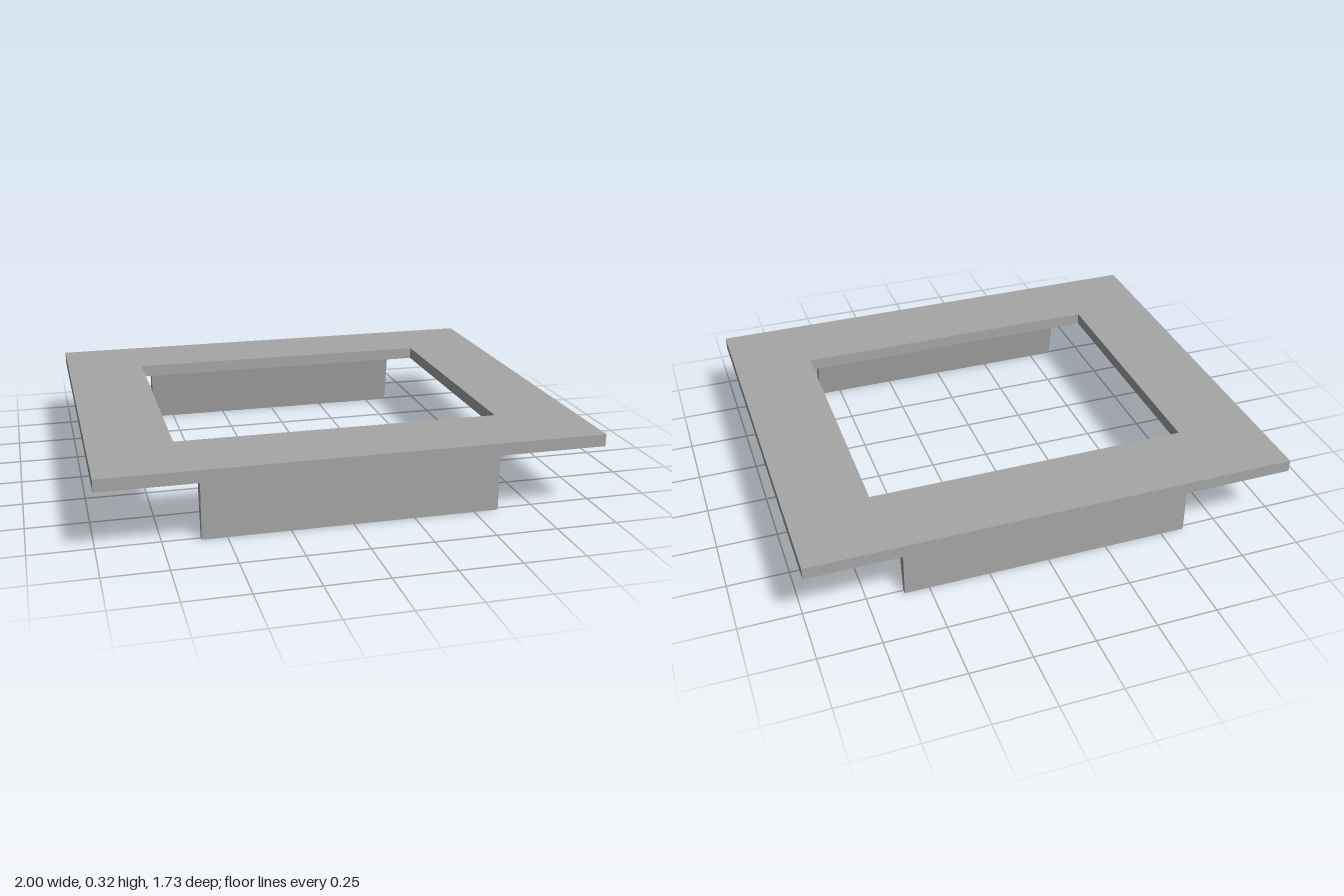
import * as THREE from 'three';

// Closed polygon from [x, y] corner pairs
const polygon = (Type, pts) => new Type(pts.map(([x, y]) => new THREE.Vector2(x, y)));
const rectangle = (Type, w, h) => polygon(Type, [[-w, -h], [w, -h], [w, h], [-w, h]]);

export function createModel() {
  const group = new THREE.Group();
  const grey = new THREE.MeshStandardMaterial({ color: 0xa6a6a6 });
  grey.name = 'plain grey';

  const plateBottom = 0.27, plateThickness = 0.05;

  // Flat rectangular frame with an open centre
  const outline = rectangle(THREE.Shape, 1, 0.865);
  outline.holes.push(rectangle(THREE.Path, 0.665, 0.538));
  const frameGeometry = new THREE.ExtrudeGeometry(outline, { depth: plateThickness, bevelEnabled: false });
  frameGeometry.rotateX(-Math.PI / 2).translate(0, plateBottom, 0);
  const frame = new THREE.Mesh(frameGeometry, grey);
  frame.name = 'frame';
  group.add(frame);

  // Tapered tab: upright outer face, sloping inner face, extruded along x
  const tabProfile = polygon(THREE.Shape, [[-0.768, 0], [-0.742, 0], [-0.702, plateBottom], [-0.768, plateBottom]]);
  const tabGeometry = new THREE.ExtrudeGeometry(tabProfile, { depth: 1.2, bevelEnabled: false });
  tabGeometry.translate(0, 0, -0.6).rotateY(Math.PI / 2);

  // One tab at the front, one turned round at the back
  [['frontTab', 0], ['backTab', Math.PI]].forEach(([name, turn]) => {
    const tab = new THREE.Mesh(tabGeometry, grey);
    tab.name = name;
    tab.rotation.y = turn;
    group.add(tab);
  });

  return group;
}
